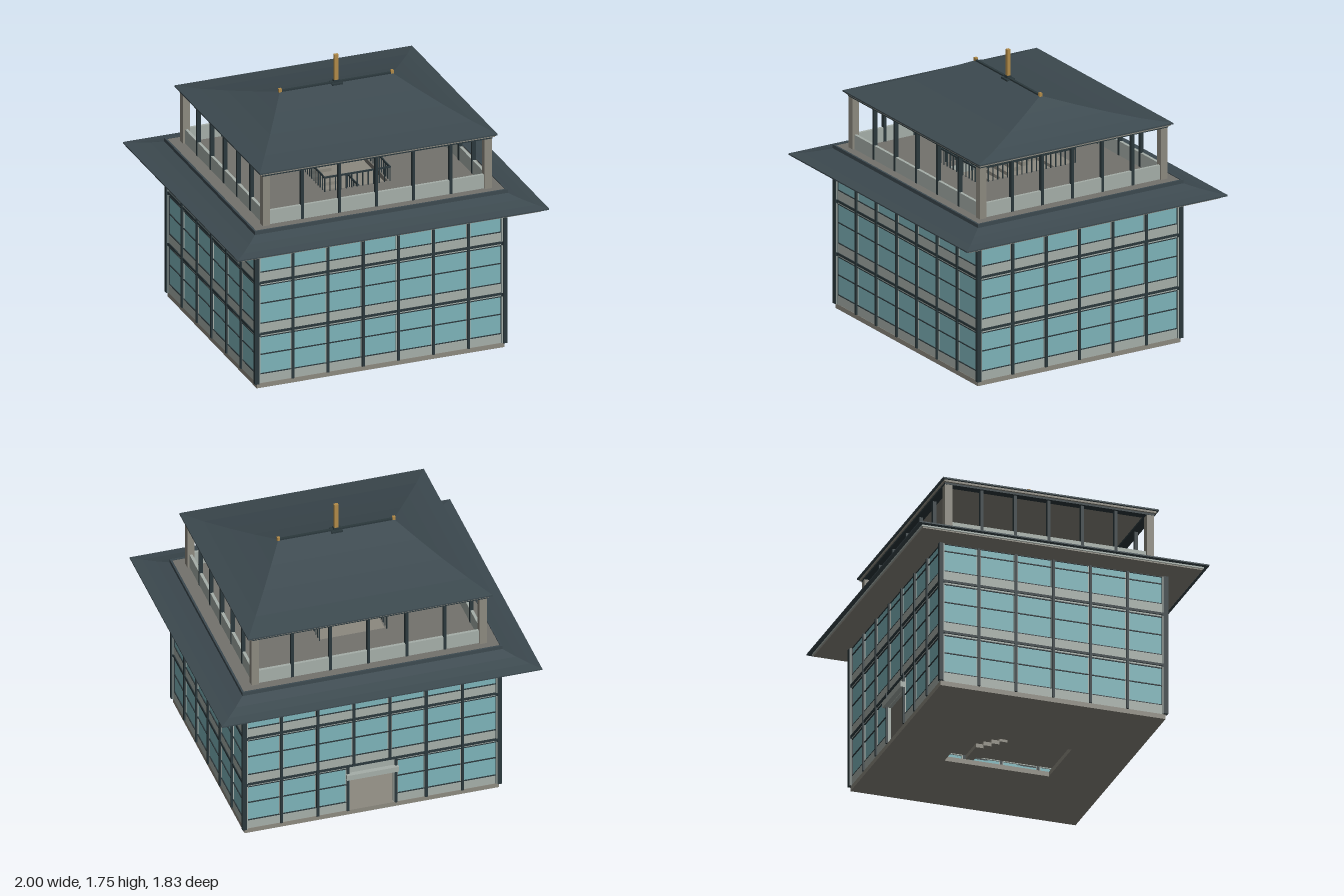
import * as THREE from 'three';

const mat = (name, color) => {
  const m = new THREE.MeshStandardMaterial({ color });
  m.name = name;
  return m;
};

export function createModel() {
  const model = new THREE.Group();
  const roofDark = mat('slate roof', 0x3c494f);
  const frameDark = mat('dark frame', 0x2b383c);
  const concrete = mat('concrete', 0x8c897f);
  const deckGrey = mat('deck grey', 0x73726d);
  const panel = mat('pale panel', 0xa5aea8);
  const glass = mat('teal glass', 0x7db3b9);
  const gold = mat('gold', 0xb18a48);

  const part = (name, parent = model) => {
    const g = new THREE.Group();
    g.name = name;
    parent.add(g);
    return g;
  };
  const add = (parent, name, geo, m) => {
    const mesh = new THREE.Mesh(geo, m);
    mesh.name = name;
    parent.add(mesh);
    return mesh;
  };
  // Box given by its limits on each axis
  const box = (parent, name, m, x0, x1, y0, y1, z0, z1) => {
    const mesh = add(parent, name, new THREE.BoxGeometry(x1 - x0, y1 - y0, z1 - z0), m);
    mesh.position.set((x0 + x1) / 2, (y0 + y1) / 2, (z0 + z1) / 2);
    return mesh;
  };
  // Rectangular slab with a rectangular opening
  const slab = (parent, name, m, hx, hz, y0, y1, ox, oz) => {
    const s = new THREE.Shape([[-hx, -hz], [hx, -hz], [hx, hz], [-hx, hz]].map(p => new THREE.Vector2(...p)));
    s.holes.push(new THREE.Path([[-ox, -oz], [-ox, oz], [ox, oz], [ox, -oz]].map(p => new THREE.Vector2(...p))));
    const geo = new THREE.ExtrudeGeometry(s, { depth: y1 - y0, bevelEnabled: false });
    geo.rotateX(-Math.PI / 2).translate(0, y0, 0);
    return add(parent, name, geo, m);
  };
  // Hipped roof skin through rectangular rings [halfX, halfZ, y]
  const hipRoof = (parent, name, m, rings) => {
    const pos = [];
    const corners = ([hx, hz, y]) => [[-hx, y, hz], [hx, y, hz], [hx, y, -hz], [-hx, y, -hz]];
    for (let i = 0; i < rings.length - 1; i++) {
      const a = corners(rings[i]), b = corners(rings[i + 1]);
      for (let k = 0; k < 4; k++) {
        const n = (k + 1) % 4;
        pos.push(...a[k], ...a[n], ...b[n], ...a[k], ...b[n], ...b[k]);
      }
    }
    const geo = new THREE.BufferGeometry();
    geo.setAttribute('position', new THREE.Float32BufferAttribute(pos, 3));
    geo.computeVertexNormals();
    return add(parent, name, geo, m);
  };

  // Floors, each open over the stairwell
  const WELL_X = 0.2, WELL_Z = 0.33;
  slab(model, 'base', concrete, 0.795, 0.712, 0, 0.03, WELL_X, WELL_Z);
  slab(model, 'firstFloor', concrete, 0.78, 0.695, 0.34, 0.36, WELL_X, WELL_Z);
  slab(model, 'secondFloor', concrete, 0.78, 0.695, 0.675, 0.695, WELL_X, WELL_Z);
  slab(model, 'terraceDeck', deckGrey, 0.8, 0.715, 1.0, 1.03, WELL_X, WELL_Z);

  // Glazed walls: storey = [bottom, spandrel top, window top, middle rail]
  const storeys = [[0.03, 0.09, 0.335, 0.217], [0.36, 0.42, 0.67, 0.55], [0.695, 0.755, 0.935, 0.885]];
  const wall = (name, length, bays, dist, angle, door) => {
    const g = part(name);
    g.rotation.y = angle;
    const d = dist, h = length / 2;
    storeys.forEach(([y0, ys, y1, ym], s) => {
      const xs = Array.from({ length: bays + 1 }, (_, i) => -h + length * i / bays);
      const hasDoor = door && s === 0;
      if (hasDoor) { xs[3] = -0.15; xs[4] = 0.15; }
      xs.forEach(x => {
        box(g, 'mullion', frameDark, x - 0.008, x + 0.008, y0, y1 + 0.025, d - 0.02, d + 0.012);
        box(g, 'jamb', panel, x - 0.013, x + 0.013, y0, y1, d - 0.018, d + 0.001);
      });
      for (let i = 0; i < bays; i++) {
        const a = xs[i] + 0.008, b = xs[i + 1] - 0.008;
        if (hasDoor && i === 3) {
          box(g, 'doorLintel', panel, a, b, 0.26, y1, d - 0.02, d);
          box(g, 'doorCanopy', panel, a - 0.02, b + 0.02, 0.265, 0.3, d, d + 0.03);
          continue;
        }
        box(g, 'spandrel', panel, a, b, y0, ys, d - 0.02, d + 0.002);
        box(g, 'windowPane', glass, a + 0.004, b - 0.004, ys, y1, d - 0.012, d - 0.003);
        box(g, 'middleRail', frameDark, a, b, ym - 0.003, ym + 0.003, d - 0.012, d + 0.003);
        box(g, 'windowSill', frameDark, a, b, ys - 0.002, ys + 0.003, d - 0.012, d + 0.003);
        box(g, 'windowHead', frameDark, a, b, y1 - 0.006, y1, d - 0.012, d + 0.003);
      }
      if (s < 2) {
        box(g, 'headBand', panel, -h, h, y1, y1 + 0.01, d - 0.02, d + 0.001);
        box(g, 'floorBeam', frameDark, -h, h, y1 + 0.01, y1 + 0.025, d - 0.02, d + 0.008);
      }
    });
  };
  wall('frontWall', 1.58, 7, 0.708, 0, false);
  wall('backWall', 1.58, 7, 0.708, Math.PI, true);
  wall('leftWall', 1.41, 6, 0.793, Math.PI / 2, false);
  wall('rightWall', 1.41, 6, 0.793, -Math.PI / 2, false);

  for (const sx of [-1, 1]) for (const sz of [-1, 1]) {
    const post = box(model, 'cornerPost', frameDark, -0.013, 0.013, 0.03, 0.95, -0.013, 0.013);
    post.position.x = sx * 0.797;
    post.position.z = sz * 0.711;
  }

  // Lower skirt roof with soffit and curb
  const lower = part('lowerRoof');
  hipRoof(lower, 'lowerRoofSkin', roofDark, [
    [0.79, 0.7, 0.95], [1, 0.917, 0.95], [1, 0.917, 0.958], [0.94, 0.857, 0.969],
    [0.875, 0.79, 0.988], [0.812, 0.723, 1.012], [0.812, 0.723, 1.035], [0.8, 0.711, 1.035], [0.8, 0.711, 1.0]]);
  slab(lower, 'soffit', concrete, 0.965, 0.885, 0.932, 0.95, 0.785, 0.695);
  slab(lower, 'soffitTrim', panel, 0.972, 0.892, 0.94, 0.951, 0.94, 0.86);

  // Open pavilion
  const pav = part('pavilion');
  for (const s of [-1, 1]) {
    for (const t of [-1, 1]) {
      const post = box(pav, 'pavilionPost', concrete, -0.023, 0.023, 1.03, 1.36, -0.023, 0.023);
      post.position.x = s * 0.712;
      post.position.z = t * 0.638;
    }
    box(pav, 'parapet', panel, -0.69, 0.69, 1.03, 1.12, s * 0.638 - 0.009, s * 0.638 + 0.009);
    box(pav, 'parapet', panel, s * 0.712 - 0.009, s * 0.712 + 0.009, 1.03, 1.12, -0.615, 0.615);
    for (let i = -2; i <= 2; i++) {
      const x = i * 0.238, z = i * 0.212;
      box(pav, 'slimPost', frameDark, x - 0.009, x + 0.009, 1.03, 1.36, s * 0.638 - 0.012, s * 0.638 + 0.012);
      box(pav, 'slimPost', frameDark, s * 0.712 - 0.012, s * 0.712 + 0.012, 1.03, 1.36, z - 0.009, z + 0.009);
    }
  }
  slab(pav, 'ringBeam', frameDark, 0.737, 0.662, 1.355, 1.37, 0.685, 0.61);
  box(pav, 'ceiling', concrete, -0.75, 0.75, 1.367, 1.38, -0.67, 0.67);

  // Upper hipped roof, ridge and mast
  const upper = part('upperRoof');
  hipRoof(upper, 'upperRoofSkin', roofDark, [
    [0.74, 0.66, 1.379], [0.763, 0.683, 1.379], [0.763, 0.683, 1.388], [0.665, 0.515, 1.42],
    [0.56, 0.34, 1.465], [0.46, 0.17, 1.515], [0.36, 0, 1.57]]);
  box(upper, 'ridgeCap', frameDark, -0.36, 0.36, 1.56, 1.577, -0.008, 0.008);
  for (const s of [-1, 1]) box(upper, 'ridgeFinial', gold, s * 0.36 - 0.009, s * 0.36 + 0.009, 1.565, 1.588, -0.009, 0.009);
  box(upper, 'mastBase', frameDark, -0.035, 0.035, 1.555, 1.572, -0.028, 0.028);
  box(upper, 'mastCollar', frameDark, -0.017, 0.017, 1.57, 1.588, -0.014, 0.014);
  box(upper, 'mast', gold, -0.013, 0.013, 1.575, 1.752, -0.011, 0.011);

  // Switchback stairs between floors
  const stairs = part('stairs');
  const levels = [0.03, 0.36, 0.695, 1.03], STEPS = 8;
  for (let l = 0; l < 3; l++) {
    const rise = (levels[l + 1] - levels[l]) / (2 * STEPS), run = 0.4 / STEPS;
    for (let i = 0; i < STEPS; i++) {
      const ya = levels[l] + rise * (i + 1), yb = ya + rise * STEPS;
      const za = -0.2 + run * i, zb = 0.2 - run * (i + 1);
      box(stairs, 'step', concrete, 0.01, 0.19, ya - 0.025, ya, za, za + run);
      box(stairs, 'step', concrete, -0.19, -0.01, yb - 0.025, yb, zb, zb + run);
    }
    const mid = levels[l] + rise * STEPS;
    box(stairs, 'halfLanding', concrete, -0.19, 0.19, mid - 0.02, mid, 0.2, 0.32);
    box(stairs, 'floorLanding', concrete, -0.2, 0.2, levels[l + 1] - 0.02, levels[l + 1], -0.33, -0.2);
  }

  // Baluster rail around the stairwell on each upper floor
  for (const y of levels.slice(1)) {
    const rail = part('stairwellRail');
    const run = (x0, z0, x1, z1, n) => {
      const e = 0.004;
      box(rail, 'handrail', frameDark, x0 - e, x1 + e, y + 0.088, y + 0.098, z0 - e, z1 + e);
      for (let i = 0; i <= n; i++) {
        const x = x0 + (x1 - x0) * i / n, z = z0 + (z1 - z0) * i / n;
        box(rail, 'baluster', frameDark, x - 0.003, x + 0.003, y, y + 0.09, z - 0.003, z + 0.003);
      }
    };
    run(-0.21, -0.34, -0.21, 0.34, 20);
    run(0.21, -0.34, 0.21, 0.34, 20);
    run(-0.21, 0.34, 0.21, 0.34, 12);
  }
  return model;
}
